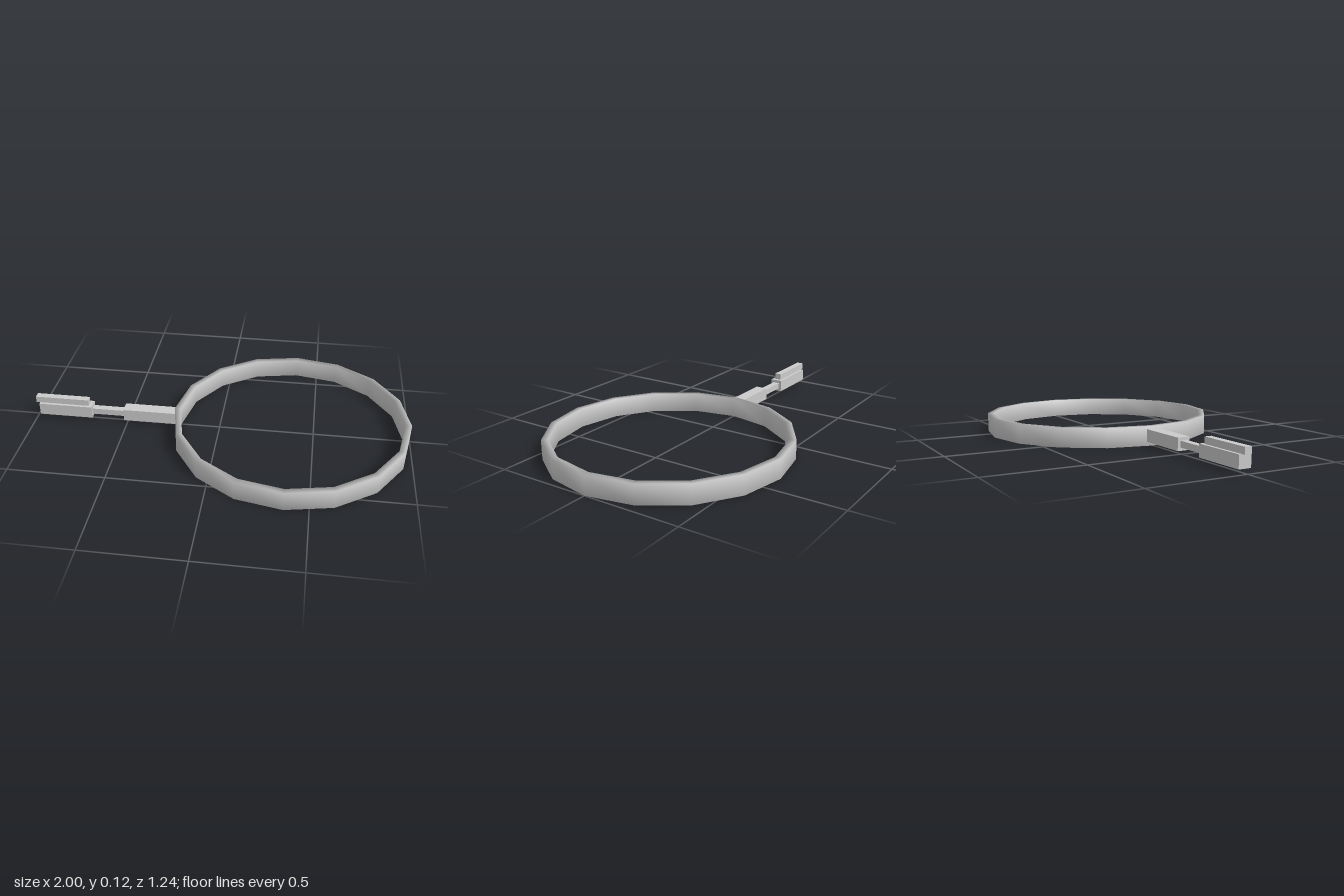
import * as THREE from 'three';
import { mergeVertices } from 'three/addons/utils/BufferGeometryUtils.js';

const material = new THREE.MeshStandardMaterial({ color: 0xcccccc });

// Box given by its extents in x and y, centred on z = 0
function bar(name, x0, x1, y0, y1, depth) {
  const mesh = new THREE.Mesh(new THREE.BoxGeometry(x1 - x0, y1 - y0, depth), material);
  mesh.position.set((x0 + x1) / 2, (y0 + y1) / 2, 0);
  mesh.name = name;
  return mesh;
}

// Sixteen-sided hoop with a rectangular section, smooth-shaded across its edges
function hoop(outer, inner, height) {
  const section = [[outer, 0], [outer, height], [inner, height], [inner, 0], [outer, 0]]
    .map(([r, y]) => new THREE.Vector2(r, y));
  const lathe = new THREE.LatheGeometry(section, 16);
  lathe.deleteAttribute('normal');
  lathe.deleteAttribute('uv');
  const geometry = mergeVertices(lathe, 1e-4);
  geometry.computeVertexNormals();
  const mesh = new THREE.Mesh(geometry, material);
  mesh.name = 'hoop';
  return mesh;
}

export function createModel() {
  const model = new THREE.Group();
  model.name = 'hoopWithHandle';

  const ring = hoop(0.62, 0.587, 0.1);
  ring.position.x = 0.38;
  model.add(ring);

  // Handle: mounting block, thin rod, grip and the bar on top of the grip
  const handle = new THREE.Group();
  handle.name = 'handle';
  handle.add(
    bar('mountingBlock', -0.515, -0.225, 0.02, 0.085, 0.066),
    bar('rod', -0.69, -0.515, 0.036, 0.069, 0.036),
    bar('grip', -0.98, -0.69, 0.02, 0.085, 0.066),
    bar('topBar', -1, -0.71, 0.085, 0.119, 0.036),
  );
  model.add(handle);
  return model;
}
